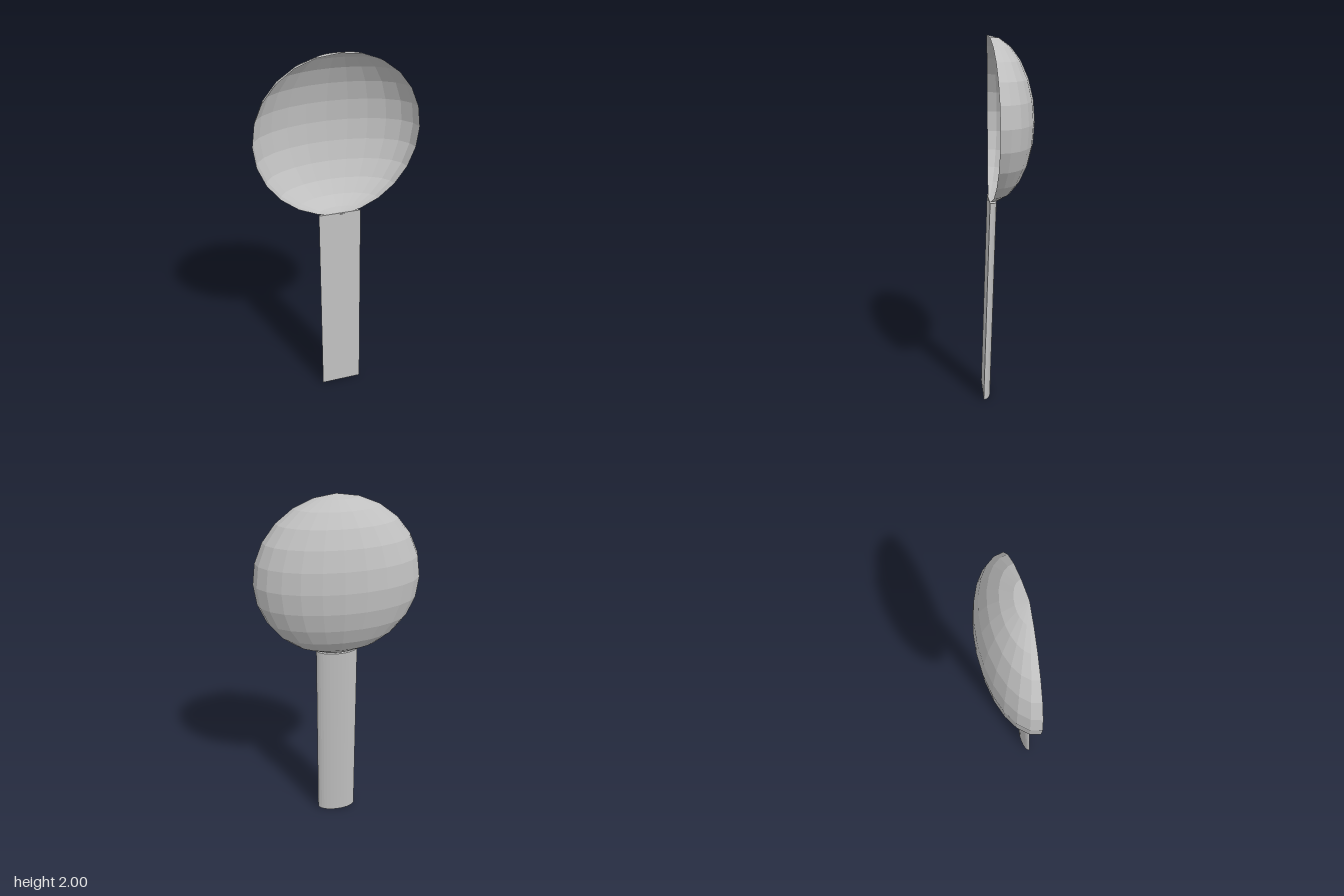
import * as THREE from 'three';

const steel = new THREE.MeshStandardMaterial({ color: 0xc0c0c0, flatShading: true, side: THREE.DoubleSide });
steel.name = 'steel grey';

// Move every vertex by a rule (x, y, z) => [x, y, z]
function reshape(geometry, rule) {
  const p = geometry.attributes.position;
  for (let i = 0; i < p.count; i++) p.setXYZ(i, ...rule(p.getX(i), p.getY(i), p.getZ(i)));
  geometry.computeVertexNormals();
  return geometry;
}

// Open half-ellipsoid whose rim dips backwards at the sides
function makeBowl() {
  const half = new THREE.SphereGeometry(1, 12, 12, Math.PI, Math.PI);
  reshape(half, (x, y, z) => {
    const ring = Math.sqrt(Math.max(0, 1 - y * y));
    return [0.434 * x, 1.57 + 0.43 * y, 0.1 - 0.03 * ring + 0.212 * z];
  });
  const bowl = new THREE.Mesh(half, steel);
  bowl.name = 'bowl';
  return bowl;
}

// Leaning bar with a flat front and a half-elliptical back
function makeHandle() {
  const halfWidth = 0.114, depth = 0.043, steps = 16;
  const section = new THREE.Shape();
  for (let i = 0; i <= steps; i++) {
    const a = (i / steps) * Math.PI;
    section[i ? 'lineTo' : 'moveTo'](halfWidth * Math.cos(a), depth * Math.sin(a));
  }
  const bar = new THREE.ExtrudeGeometry(section, { depth: 1, bevelEnabled: false });
  reshape(bar, (x, d, t) => [x, 0.01 + 1.138 * t - 0.01 * d / depth, 0.14 - 0.043 * t - d]);
  const handle = new THREE.Mesh(bar, steel);
  handle.name = 'handle';
  return handle;
}

export function createModel() {
  const spoon = new THREE.Group();
  spoon.name = 'spoon';
  spoon.add(makeBowl(), makeHandle());
  return spoon;
}
